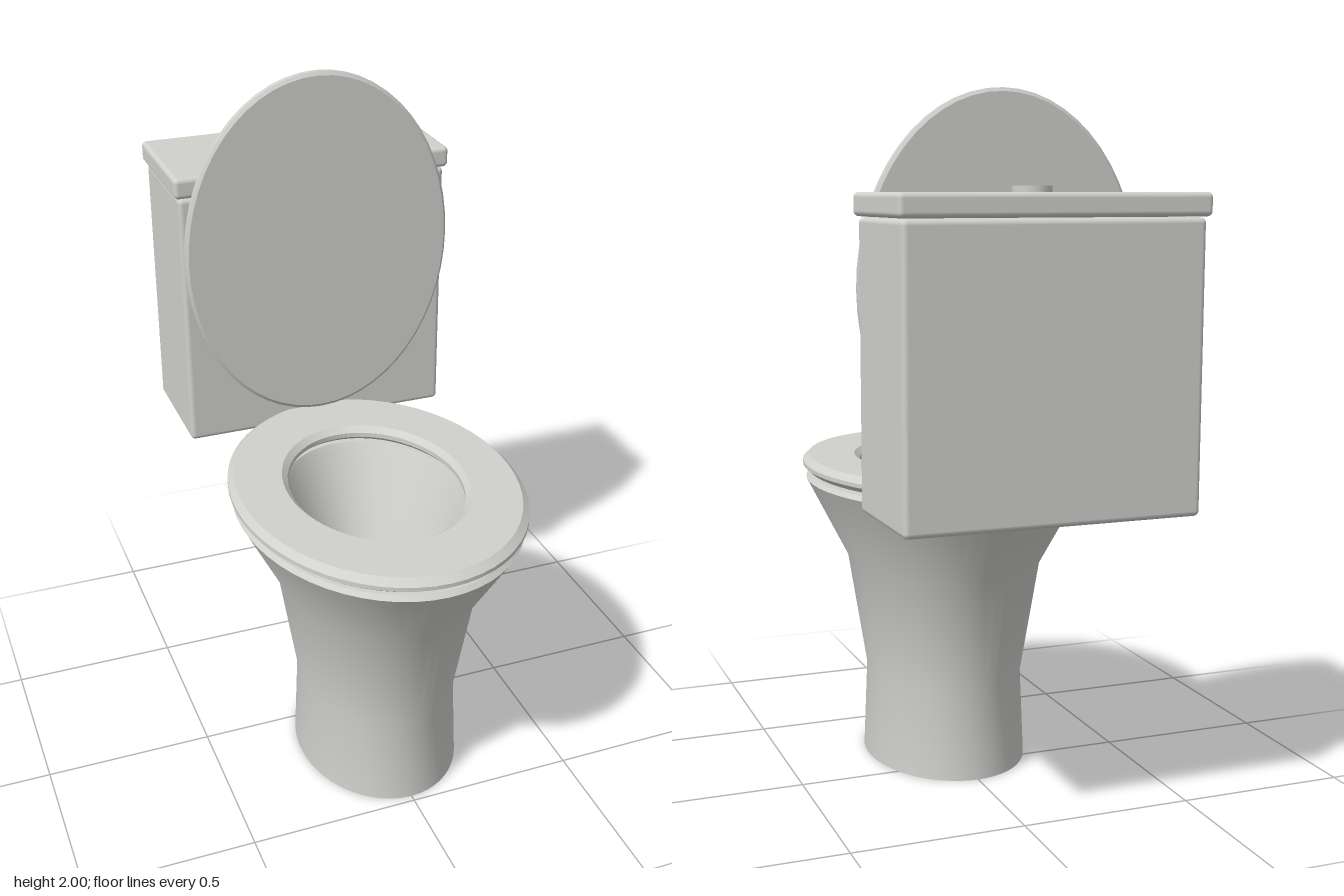
import * as THREE from 'three';
import { toCreasedNormals } from 'three/addons/utils/BufferGeometryUtils.js';
import { RoundedBoxGeometry } from 'three/addons/geometries/RoundedBoxGeometry.js';

const OVAL = 1.295; // length of the bowl relative to its width
const BOWL_Z = 0.168;

export function createModel() {
  const model = new THREE.Group();
  model.name = 'toilet';

  const ceramic = new THREE.MeshStandardMaterial({ color: 0xd0d0cd });
  ceramic.name = 'ceramic';
  const water = new THREE.MeshStandardMaterial({ color: 0xb5ccd5 });
  water.name = 'water';

  const add = (name, geometry, material, x, y, z) => {
    const mesh = new THREE.Mesh(geometry, material);
    mesh.name = name;
    mesh.position.set(x, y, z);
    model.add(mesh);
    return mesh;
  };

  // Turned profile of [radius, height] points, stretched into an oval
  const oval = (points) => {
    const geometry = new THREE.LatheGeometry(points.map(([r, y]) => new THREE.Vector2(r, y)), 56);
    geometry.scale(1, 1, OVAL);
    return toCreasedNormals(geometry, 0.5);
  };

  const box = (w, h, d, r) => new RoundedBoxGeometry(w, h, d, 3, r);

  // Pedestal and bowl in one shell: underside, outer wall, rim, inner wall
  add('bowl', oval([
    [0, 0], [0.241, 0], [0.23, 0.27], [0.285, 0.62], [0.407, 0.862], [0.397, 0.875],
    [0.262, 0.875], [0.252, 0.85], [0.145, 0.55], [0, 0.54],
  ]), ceramic, 0, 0, BOWL_Z);

  // Water surface
  const surface = new THREE.CircleGeometry(0.147, 56);
  surface.rotateX(-Math.PI / 2);
  surface.scale(1, 1, OVAL);
  add('water', surface, water, 0, 0.556, BOWL_Z);

  // Seat ring with bevelled inner and outer edges
  add('seat', oval([
    [0.262, 0.886], [0.398, 0.886], [0.416, 0.902], [0.416, 0.914], [0.398, 0.932],
    [0.262, 0.932], [0.246, 0.916], [0.246, 0.902], [0.262, 0.886],
  ]), ceramic, 0, 0, BOWL_Z);

  // Raised lid
  const lid = oval([
    [0, -0.015], [0.4, -0.015], [0.408, -0.008], [0.408, 0.008], [0.4, 0.015], [0, 0.015],
  ]);
  lid.rotateX(Math.PI / 2);
  add('lid', lid, ceramic, 0, 1.471, -0.309);

  // Cistern, its cover and the flush button
  add('tank', box(0.822, 0.78, 0.367, 0.015), ceramic, 0, 1.271, -0.516);
  add('tankCover', box(0.846, 0.062, 0.386, 0.014), ceramic, 0, 1.694, -0.517);
  add('flushButton', new THREE.CylinderGeometry(0.052, 0.052, 0.025, 32), ceramic, 0, 1.729, -0.517);

  return model;
}
